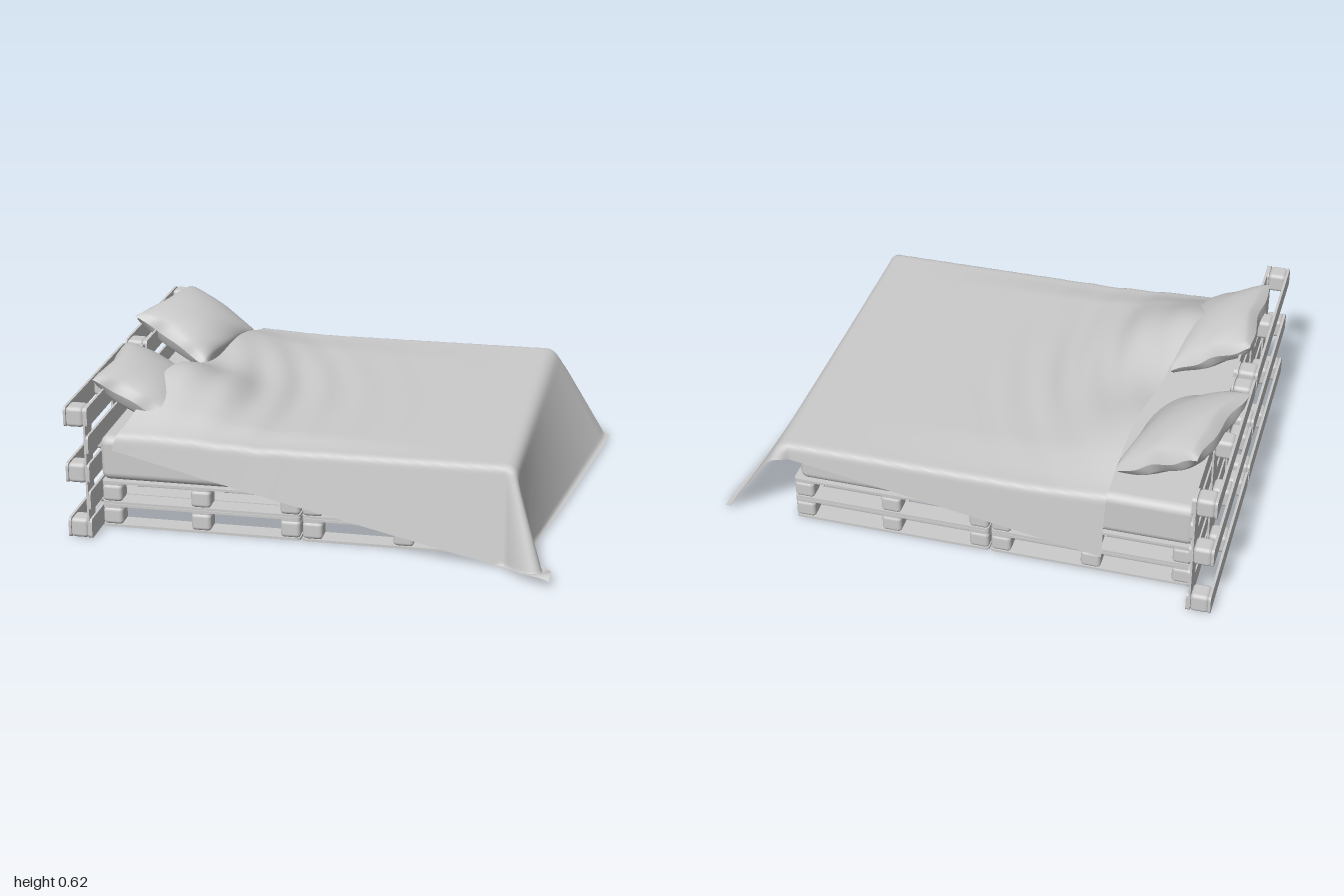
import * as THREE from 'three';
import { RoundedBoxGeometry } from 'three/addons/geometries/RoundedBoxGeometry.js';

const material = new THREE.MeshStandardMaterial({ color: 0xcccccc });
const clothMaterial = new THREE.MeshStandardMaterial({ color: 0xcccccc, side: THREE.DoubleSide });
const { lerp, clamp, smoothstep } = THREE.MathUtils;
const bell = (x, centre, width) => Math.exp(-(((x - centre) / width) ** 2));

// Moves every vertex of a geometry by a rule
function reshape(geometry, rule) {
  const pos = geometry.attributes.position;
  const v = new THREE.Vector3();
  for (let i = 0; i < pos.count; i++) {
    v.fromBufferAttribute(pos, i);
    rule(v);
    pos.setXYZ(i, v.x, v.y, v.z);
  }
  geometry.computeVertexNormals();
  return geometry;
}

function addMesh(parent, name, geometry, x, y, z, mat = material) {
  const mesh = new THREE.Mesh(geometry, mat);
  mesh.name = name;
  mesh.position.set(x, y, z);
  parent.add(mesh);
  return mesh;
}

// Plank with rounded corners in plan, lying flat and centred
function plank(length, width, thickness) {
  const r = 0.014, a = length / 2, b = width / 2;
  const shape = new THREE.Shape();
  shape.absarc(a - r, b - r, r, 0, Math.PI / 2);
  shape.absarc(-a + r, b - r, r, Math.PI / 2, Math.PI);
  shape.absarc(-a + r, -b + r, r, Math.PI, Math.PI * 1.5);
  shape.absarc(a - r, -b + r, r, Math.PI * 1.5, Math.PI * 2);
  return new THREE.ExtrudeGeometry(shape, { depth: thickness, bevelEnabled: false, curveSegments: 3 })
    .translate(0, 0, -thickness / 2).rotateX(-Math.PI / 2);
}

// Pallet: length along x, width along z, standing on y = 0
const LENGTH = 0.795, WIDTH = 0.54, BAR = 0.08;
function createPallet(name) {
  const pallet = new THREE.Group();
  pallet.name = name;
  const board = plank(LENGTH, BAR, 0.01);
  const block = new RoundedBoxGeometry(BAR, 0.072, BAR, 3, 0.016);
  const cross = plank(BAR, WIDTH, 0.008);
  const dx = (LENGTH - BAR) / 2, dz = (WIDTH - BAR) / 2;
  for (const i of [-1, 0, 1]) {
    addMesh(pallet, 'bottomBoard', board, 0, 0.005, i * dz);
    addMesh(pallet, 'crossBoard', cross, i * dx, 0.082, 0);
    for (const k of [-1, 0, 1]) addMesh(pallet, 'block', block, i * dx, 0.0435, k * dz);
  }
  for (let k = -2; k <= 2; k++) addMesh(pallet, 'deckBoard', board, 0, 0.09, (k * dz) / 2);
  return pallet;
}

// Pillow: two domed faces meeting in a seam with pulled-out corners
function createPillow(name, depth, length, thickness, phase) {
  const geometry = reshape(new THREE.BoxGeometry(2, 2, 2, 32, 1, 32), (v) => {
    const { x: a, z: b } = v;
    const dome = Math.pow(Math.max(0, (1 - a * a) * (1 - b * b)), 0.42);
    const rim = Math.max(Math.abs(a), Math.abs(b)) ** 3;
    const crease = 0.004 * rim * Math.sin(7 * a + 6 * b + phase);
    v.set(
      (a * depth / 2) * (1 - 0.06 * (1 - b * b)) + crease,
      Math.sign(v.y) * dome * thickness / 2 + crease,
      (b * length / 2) * (1 - 0.05 * (1 - a * a)) + crease
    );
  });
  const pillow = new THREE.Mesh(geometry, material);
  pillow.name = name;
  return pillow;
}

// Blanket: a slightly turned rectangle of cloth draped over the mattress
function createBlanket() {
  const TOP = 0.385, FLOOR = 0.006, FOOT = 0.69, NEAR = 0.61, FAR = -0.765;
  return reshape(new THREE.PlaneGeometry(1, 1, 120, 120), (vert) => {
    const u = vert.x + 0.5, v = 0.5 - vert.y;
    // Position in the flat cloth
    const head = lerp(-0.56, -0.84, v) + 0.08 * Math.sin(Math.PI * v);
    const p = lerp(head, lerp(1.22, 1.08, v), u);
    const q = lerp(lerp(-1.05, 0.69, v), lerp(-0.77, 1.11, v), u);
    // Overhang past the mattress edges
    const dx = Math.max(0, p - FOOT);
    const dz = q > NEAR ? q - NEAR : Math.min(0, q - FAR);
    const r = Math.hypot(dx, dz);
    const cx = r ? dx / r : 0, cz = r ? dz / r : 0;
    const baseX = Math.min(p, FOOT), baseZ = clamp(q, FAR, NEAR);

    // Rounded edge, then a leaning fall, then spread on the floor
    const round = lerp(0.05, 0.09, cx * cx);
    const past = r < round ? (r * r) / (2 * round) : r - round / 2;
    const footLean = lerp(0.62, 0.14, clamp((q + 0.7) / 1.2, 0, 1));
    const sideLean = q > 0 ? 0.16 : 0.1;
    const corner = Math.pow(2 * cx * Math.abs(cz), 3);
    const lean = lerp(sideLean, footLean, cx * cx) + 0.32 * corner;
    const fall = past / Math.hypot(1, lean);
    const drop = Math.min(fall, TOP - FLOOR);
    const spread = Math.max(0, fall - drop) * 0.7;
    const out = r - past + drop * lean + spread;

    // Lift over the pillows and soft wrinkles on top
    const near = 1 - smoothstep(p, -0.7, -0.22);
    const inner = smoothstep(q, FAR, FAR + 0.25) * (1 - smoothstep(q, NEAR - 0.15, NEAR));
    const crown = 0.016 * inner * (1 - smoothstep(p, -0.3, 0.65));
    const lift = near * (0.155 * bell(q, 0.23, 0.28) + 0.09 * bell(q, -0.4, 0.3)) + crown;
    const arc = p + 0.35 * (q - 0.05) ** 2 - 0.12 * q;
    const wrinkle = 0.009 * Math.sin(arc * 36) * bell(p, -0.32, 0.3) * bell(q, 0.1, 0.45);
    const floorFold = 0.04 * corner * Math.sin(Math.PI * clamp(spread / 0.16, 0, 1));
    vert.set(baseX + cx * out, TOP - drop + lift + wrinkle + floorFold, baseZ + cz * out);
  });
}

export function createModel() {
  const bed = new THREE.Group();
  bed.name = 'palletBed';

  // Base: two stacked layers of four pallets with a gap down the middle
  for (const y of [0, 0.097])
    for (const x of [-0.503, 0.3])
      for (const z of [-0.48, 0.33]) {
        const pallet = createPallet('basePallet');
        pallet.position.set(x, y, z);
        bed.add(pallet);
      }

  // Headboard: two pallets on edge, decks facing the bed
  const upright = new THREE.Matrix4().makeBasis(
    new THREE.Vector3(0, 0, 1), new THREE.Vector3(1, 0, 0), new THREE.Vector3(0, 1, 0));
  for (const z of [-0.4875, 0.335]) {
    const pallet = createPallet('headboardPallet');
    pallet.quaternion.setFromRotationMatrix(upright);
    pallet.position.set(-1, WIDTH / 2, z);
    bed.add(pallet);
  }

  // Mattress
  addMesh(bed, 'mattress', new RoundedBoxGeometry(1.58, 0.183, 1.35, 4, 0.035), -0.115, 0.284, -0.075);

  // Pillows leaning on the headboard
  const farPillow = createPillow('farPillow', 0.38, 0.48, 0.18, 0.5);
  farPillow.position.set(-0.785, 0.5, -0.455);
  farPillow.rotation.set(0, -0.24, -0.5);
  const nearPillow = createPillow('nearPillow', 0.37, 0.47, 0.17, 2);
  nearPillow.position.set(-0.79, 0.49, 0.28);
  nearPillow.rotation.set(0, 0, -0.5);
  bed.add(farPillow, nearPillow);

  // Blanket
  addMesh(bed, 'blanket', createBlanket(), 0, 0, 0, clothMaterial);
  return bed;
}
